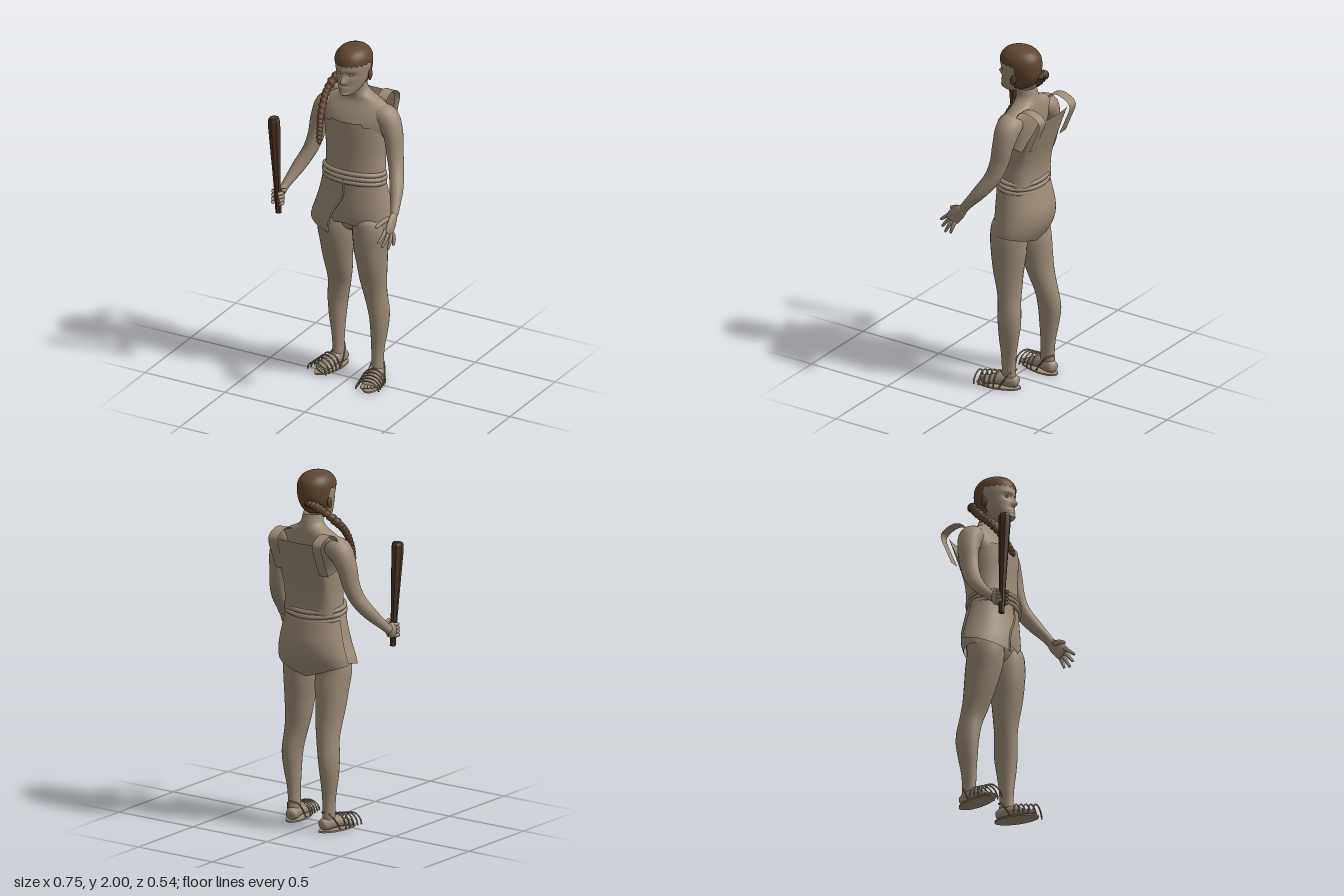
import * as THREE from 'three';

const V = (p) => new THREE.Vector3(p[0], p[1], p[2]);
const gauss = (d, s) => Math.exp(-(d * d) / (2 * s * s));
const clamp = THREE.MathUtils.clamp, lerp = THREE.MathUtils.lerp;

// Smooth lookup in a table of rows [y, cz, rx, rz], sorted by rising y
function at(rows, y) {
  const n = rows.length;
  y = clamp(y, rows[0][0], rows[n - 1][0]);
  let i = 0;
  while (i < n - 2 && y > rows[i + 1][0]) i++;
  const h = rows[i + 1][0] - rows[i][0], t = (y - rows[i][0]) / h;
  const slope = (k, c) => {
    const a = rows[Math.max(0, k - 1)], b = rows[Math.min(n - 1, k + 1)];
    return (b[c] - a[c]) / (b[0] - a[0]);
  };
  return [1, 2, 3].map((c) => (1 + 2 * t) * (1 - t) ** 2 * rows[i][c] + t * (1 - t) ** 2 * h * slope(i, c)
    + t * t * (3 - 2 * t) * rows[i + 1][c] + t * t * (t - 1) * h * slope(i + 1, c));
}

// Grid surface from fn(u, v); closed joins the u ends
function surf(fn, nu, nv, closed = true) {
  const pos = [], idx = [], cols = closed ? nu : nu + 1;
  for (let j = 0; j <= nv; j++) for (let i = 0; i < cols; i++) pos.push(...fn(i / nu, j / nv));
  for (let j = 0; j < nv; j++) for (let i = 0; i < nu; i++) {
    const k = (i + 1) % cols, a = j * cols + i, b = j * cols + k;
    idx.push(a, b, b + cols, a, b + cols, a + cols);
  }
  const g = new THREE.BufferGeometry();
  g.setAttribute('position', new THREE.Float32BufferAttribute(pos, 3));
  g.setIndex(idx);
  g.computeVertexNormals();
  return g;
}

// Round-ended limb through stations [x, y, z, ru, rv]
function sweep(st, ref = [0, 0, 1], nu = 16, nv = 24, bump = () => 1) {
  const path = new THREE.CatmullRomCurve3(st.map(V));
  const rad = new THREE.CatmullRomCurve3(st.map((s) => new THREE.Vector3(s[3], s[4] ?? s[3], 0)));
  return surf((u, v) => {
    const t = 0.5 - 0.5 * Math.cos(Math.PI * v), a = u * Math.PI * 2;
    const e = Math.min(1, Math.min(t, 1 - t) / 0.06);
    const k = Math.max(0.01, Math.sqrt(1 - (1 - e) ** 2)) * bump(a, t);
    const T = path.getTangent(t), U = T.clone().cross(V(ref)).normalize(), W = T.clone().cross(U);
    const r = rad.getPoint(t);
    return path.getPoint(t).addScaledVector(U, r.x * k * Math.cos(a)).addScaledVector(W, r.y * k * Math.sin(a)).toArray();
  }, nu, nv);
}

const cord = (pts, r, closed = false, n = 40) =>
  new THREE.TubeGeometry(new THREE.CatmullRomCurve3(pts.map(V), closed), n, r, 7, closed);

const BODY = [[0.87, -0.06, 0.02, 0.02], [0.91, -0.06, 0.12, 0.08], [1.0, -0.07, 0.185, 0.125], [1.1, -0.06, 0.18, 0.12],
  [1.25, -0.05, 0.16, 0.108], [1.35, -0.05, 0.157, 0.105], [1.46, -0.05, 0.163, 0.1], [1.54, -0.055, 0.19, 0.1],
  [1.6, -0.068, 0.207, 0.088], [1.64, -0.08, 0.196, 0.075], [1.67, -0.088, 0.15, 0.066], [1.695, -0.087, 0.092, 0.064],
  [1.72, -0.083, 0.063, 0.062], [1.77, -0.07, 0.056, 0.06]];
const TUNIC = [[1.22, -0.05, 0.172, 0.118], [1.35, -0.05, 0.167, 0.113], [1.5, -0.05, 0.176, 0.115], [1.66, -0.05, 0.18, 0.11]];
const SKIRT = [[0.84, -0.05, 0.21, 0.085], [0.95, -0.064, 0.222, 0.13], [1.04, -0.068, 0.208, 0.142],
  [1.15, -0.06, 0.188, 0.13], [1.25, -0.05, 0.17, 0.117]];
const HEAD = [[1.724, 0.02, 0.004, 0.006], [1.735, 0.014, 0.036, 0.055], [1.76, -0.005, 0.058, 0.08], [1.8, -0.027, 0.077, 0.1],
  [1.85, -0.038, 0.089, 0.113], [1.9, -0.04, 0.094, 0.117], [1.94, -0.04, 0.09, 0.11], [1.97, -0.04, 0.07, 0.085],
  [1.987, -0.04, 0.042, 0.05], [1.994, -0.04, 0.002, 0.002]];

const ring = (rows, a, y, off = 0) => {
  const [cz, rx, rz] = at(rows, y);
  return [(rx + off) * Math.sin(a), y, cz + (rz + off) * Math.cos(a)];
};

export function createModel() {
  const group = new THREE.Group();
  const mat = (name, color) => {
    const m = new THREE.MeshStandardMaterial({ color, side: THREE.DoubleSide });
    m.name = name;
    return m;
  };
  const skin = mat('skin and cloth', 0x9c8b78), brown = mat('hair', 0x5f4631), wood = mat('dark wood', 0x4c3526);
  const add = (name, geo, m = skin, parent = group) => {
    const mesh = new THREE.Mesh(geo, m);
    mesh.name = name;
    parent.add(mesh);
    return mesh;
  };
  const ball = (name, p, s, m = skin, parent = group) => {
    const b = add(name, new THREE.SphereGeometry(1, 18, 12), m, parent);
    b.position.set(...p);
    b.scale.set(...s);
    return b;
  };
  const TAU = Math.PI * 2;

  // Torso and neck
  add('torso', surf((u, v) => ring(BODY, u * TAU, lerp(0.87, 1.77, v)), 40, 50));

  // Head with brow, nose, lips and chin pushed out by soft bumps: [x, y, sx, sy, depth]
  const bumps = [[0, 1.818, 0.011, 0.011, 0.024], [0, 1.845, 0.008, 0.02, 0.014], [0.034, 1.858, 0.017, 0.011, -0.012],
    [-0.034, 1.858, 0.017, 0.011, -0.012], [0, 1.885, 0.045, 0.008, 0.004], [0, 1.782, 0.019, 0.005, 0.009],
    [0, 1.768, 0.016, 0.005, 0.009], [0, 1.745, 0.02, 0.01, 0.012]];
  add('head', surf((u, v) => {
    const a = u * TAU, p = ring(HEAD, a, lerp(1.724, 1.994, v));
    if (Math.cos(a) > 0) for (const [x, y, sx, sy, d] of bumps) p[2] += d * gauss(p[0] - x, sx) * gauss(p[1] - y, sy);
    return p;
  }, 96, 70));
  for (const s of [1, -1]) {
    ball('eye', [s * 0.034, 1.858, 0.05], [0.013, 0.008, 0.012]);
    ball('ear', [s * 0.096, 1.833, -0.053], [0.01, 0.032, 0.018], brown).rotation.x = -0.2;
  }

  // Cropped hair with a ragged fringe, lower behind the ears
  add('hair', surf((u, v) => {
    const a = u * TAU, back = clamp((-Math.cos(a) - 0.12) / 0.14, 0, 1);
    const low = lerp(1.912 + 0.005 * Math.sin(a * 23), 1.775, back);
    const y = lerp(low, 1.994, Math.sin(v * Math.PI / 2));
    const p = ring(HEAD, a, y, 0.006 * Math.min(1, (1.994 - y) * 60));
    p[1] += 0.006 * clamp((y - 1.9) / 0.09, 0, 1);
    return p;
  }, 96, 30), brown);
  add('braid', sweep([[0, 1.835, -0.148, 0.018], [-0.06, 1.83, -0.145, 0.02], [-0.112, 1.79, -0.11, 0.02], [-0.152, 1.71, -0.03, 0.02],
    [-0.15, 1.65, 0.03, 0.019], [-0.135, 1.57, 0.09, 0.018], [-0.122, 1.51, 0.122, 0.017], [-0.11, 1.445, 0.15, 0.014]],
  [0, 1, 0], 14, 180, (a, t) => 0.75 + 0.4 * Math.abs(Math.sin(a / 2 + t * 70))), brown);

  // Tunic, cut low under the arms, its back panel standing away from the body
  add('tunic', surf((u, v) => {
    const a = u * TAU, c = Math.cos(a);
    const top = c > 0.83 ? 1.57 : c > 0.6 ? 1.55 : c > 0 ? lerp(1.48, 1.54, c / 0.6)
      : c > -0.5 ? lerp(1.48, 1.45, -c / 0.5) : lerp(1.45, 1.645, clamp((-c - 0.5) / 0.25, 0, 1));
    const y = lerp(1.22, top, v), p = ring(TUNIC, a, y);
    if (c < 0) {
      const [cz, rx, rz] = at(TUNIC, y);
      p[0] = Math.sign(p[0]) * rx * Math.abs(Math.sin(a)) ** 0.6;
      p[2] = cz - rz * (-c) ** 0.7 - 0.11 * clamp((y - 1.25) / 0.39, 0, 1) ** 1.5 * Math.min(1, -c * 1.6);
    }
    return p;
  }, 120, 24));
  // Straps running up the back panel and over to the shoulders
  for (const x of [-0.165, 0.13]) {
    const path = new THREE.CatmullRomCurve3([[x, 1.46, -0.2], [x, 1.55, -0.238], [x, 1.635, -0.268], [x, 1.665, -0.25],
      [x, 1.69, -0.185], [x, 1.672, -0.13], [x, 1.64, -0.115]].map(V));
    add('shoulderStrap', surf((u, v) => {
      const p = path.getPoint(v);
      return [p.x + (u - 0.5) * 0.062, p.y, p.z];
    }, 3, 24, false));
  }

  // Skirt with a pointed back hem, and a flap crossing the front
  add('skirt', surf((u, v) => {
    const a = u * TAU, c = Math.cos(a);
    const hem = c > 0 ? 0.965 - 0.035 * Math.abs(Math.sin(a)) : lerp(0.93, 0.855, 1 - Math.abs(Math.sin(a)));
    return ring(SKIRT, a, lerp(hem, 1.25, v));
  }, 64, 20));
  const flapEdge = (y) => (y > 1.13 ? 0 : -0.3 * clamp((1.13 - y) / 0.12, 0, 1));
  const flap = (u, v) => {
    const y = lerp(lerp(0.96, 0.9, u), 1.24, v);
    const a = lerp(-1.75, flapEdge(y), u);
    return ring(SKIRT, a, y, 0.008 + lerp(0.025, 0.05, u) * (1 - v) ** 2);
  };
  add('skirtFlap', surf(flap, 24, 20, false));
  add('flapHem', cord([0, 0.2, 0.4, 0.5, 0.6, 0.7, 0.85, 1].map((v) => flap(1, v)), 0.006));

  // Rope belt wound three times, dipping at the back
  for (const [y, r] of [[1.197, 0.001], [1.223, 0.003], [1.249, 0]]) {
    const pts = Array.from({ length: 24 }, (_, i) => {
      const a = i / 24 * TAU;
      return [(0.174 + r) * Math.sin(a), y + 0.02 * Math.cos(a), -0.05 + (0.12 + r) * Math.cos(a)];
    });
    add('belt', cord(pts, 0.014, true, 72));
  }

  // Legs, the right one set further back, with feet and corded sandals
  const LEG = [[1.02, 0.1, -0.05, 0.085, 0.11], [0.9, 0.109, -0.035, 0.101, 0.104], [0.8, 0.111, -0.035, 0.094, 0.1],
    [0.7, 0.117, -0.037, 0.084, 0.087], [0.6, 0.121, -0.045, 0.075, 0.071], [0.52, 0.13, -0.052, 0.065, 0.064],
    [0.4, 0.147, -0.063, 0.055, 0.068], [0.3, 0.148, -0.06, 0.046, 0.058], [0.2, 0.143, -0.056, 0.035, 0.045],
    [0.12, 0.141, -0.055, 0.031, 0.041], [0.03, 0.14, -0.055, 0.034, 0.046]];
  for (const s of [1, -1]) {
    const back = (y) => (s > 0 ? 0 : -0.065 * clamp((0.9 - y) / 0.4, 0, 1));
    add(s > 0 ? 'leftLeg' : 'rightLeg', sweep(LEG.map(([y, x, z, a, b]) => [s * x, y, z + back(y), a, b]), [0, 0, 1], 24, 44));
    const foot = new THREE.Group();
    foot.name = s > 0 ? 'leftFoot' : 'rightFoot';
    foot.position.set(s * 0.14, 0, -0.055 + back(0));
    foot.rotation.y = s * 0.2;
    group.add(foot);
    add('foot', sweep([[0, 0.035, -0.058, 0.03, 0.026], [0, 0.047, -0.01, 0.036, 0.042], [0, 0.046, 0.05, 0.038, 0.036],
      [0, 0.032, 0.11, 0.046, 0.022], [0, 0.025, 0.15, 0.042, 0.014]], [0, 1, 0]), skin, foot);
    for (let i = 0; i < 5; i++)
      ball('toe', [s * (-0.033 + i * 0.017), 0.022, 0.158 - i * i * 0.002], [i ? 0.009 : 0.013, 0.011, 0.022], skin, foot);
    const sole = add('sandalSole', new THREE.CylinderGeometry(1, 1, 0.009, 32), skin, foot);
    sole.position.set(0, 0.0045, 0.06);
    sole.scale.set(0.055, 1, 0.128);
    // Cords arching over the instep
    for (let i = 0; i < 5; i++) {
      const pts = Array.from({ length: 9 }, (_, k) => {
        const a = Math.PI * k / 8;
        return [0.066 * Math.cos(a), 0.015 + (0.074 - i * 0.005) * Math.sin(a), 0.065 + i * 0.029];
      });
      add('sandalCord', cord(pts, 0.0045, false, 20), skin, foot);
    }
    for (const k of [1, -1])
      add('ankleCord', cord([[k * 0.05, 0.01, 0.04], [k * 0.045, 0.06, 0.01], [k * 0.03, 0.1, -0.02], [0, 0.115, -0.046]], 0.004, false, 16), skin, foot);
  }

  // Left arm with an open hand
  add('leftArm', sweep([[0.1, 1.61, -0.08, 0.045, 0.06], [0.18, 1.585, -0.08, 0.068, 0.07], [0.226, 1.5, -0.075, 0.053, 0.062],
    [0.244, 1.4, -0.062, 0.045, 0.054], [0.27, 1.31, -0.035, 0.04, 0.047], [0.304, 1.22, 0.025, 0.037, 0.039],
    [0.33, 1.145, 0.085, 0.025, 0.028], [0.339, 1.11, 0.11, 0.02, 0.026], [0.34, 1.08, 0.13, 0.02, 0.026]], [0, 0, 1], 20, 40));
  add('leftPalm', sweep([[0.335, 1.12, 0.1, 0.022, 0.018], [0.342, 1.08, 0.14, 0.04, 0.018], [0.345, 1.045, 0.172, 0.042, 0.016],
    [0.346, 1.025, 0.185, 0.036, 0.012]], [1, 0, 0]));
  for (const [k, tip] of [[[0.335, 1.06, 0.195], [0.325, 1.0, 0.268]], [[0.345, 1.045, 0.185], [0.338, 0.968, 0.25]],
    [[0.352, 1.03, 0.17], [0.358, 0.95, 0.218]], [[0.355, 1.025, 0.153], [0.368, 0.958, 0.175]]]) {
    const mid = k.map((c, i) => (c + tip[i]) / 2 + (i === 0 ? 0.006 : 0));
    add('leftFinger', sweep([[...k, 0.011], [...mid, 0.01], [...tip, 0.007]], [1, 0, 0], 10, 12));
  }
  add('leftThumb', sweep([[0.33, 1.1, 0.135, 0.016], [0.305, 1.088, 0.18, 0.014], [0.288, 1.068, 0.228, 0.009]], [0, 1, 0], 10, 12));

  // Right arm, gripping the club
  add('rightArm', sweep([[-0.1, 1.61, -0.08, 0.045, 0.06], [-0.18, 1.585, -0.08, 0.068, 0.07], [-0.226, 1.5, -0.073, 0.053, 0.062],
    [-0.242, 1.4, -0.057, 0.045, 0.054], [-0.264, 1.31, -0.025, 0.04, 0.047], [-0.3, 1.225, 0.035, 0.037, 0.039],
    [-0.33, 1.15, 0.11, 0.025, 0.028], [-0.339, 1.12, 0.145, 0.022, 0.027], [-0.34, 1.105, 0.17, 0.024, 0.03]], [0, 0, 1], 20, 40));
  ball('rightPalm', [-0.345, 1.1, 0.182], [0.024, 0.045, 0.032]);
  for (let i = 0; i < 4; i++) {
    const f = add('rightFinger', new THREE.TorusGeometry(0.027, 0.011, 8, 18, 4.4));
    f.position.set(-0.334, 1.068 + i * 0.021, 0.209);
    f.rotation.set(Math.PI / 2, 0, 2.6 + i * 0.12);
  }
  add('rightThumb', sweep([[-0.33, 1.12, 0.165, 0.015], [-0.306, 1.135, 0.185, 0.013], [-0.303, 1.15, 0.215, 0.009]], [0, 1, 0], 10, 12));

  // Faceted wooden club
  const clubProfile = [[0, 0], [0.017, 0], [0.018, 0.12], [0.024, 0.28], [0.034, 0.52], [0.034, 0.57], [0.027, 0.583], [0, 0.583]];
  const clubGeo = new THREE.LatheGeometry(clubProfile.map(([x, y]) => new THREE.Vector2(x, y)), 7).toNonIndexed();
  clubGeo.computeVertexNormals();
  const club = add('club', clubGeo, wood);
  club.position.set(-0.332, 1.005, 0.205);
  club.rotation.set(0.05, 0, 0.022);
  return group;
}
